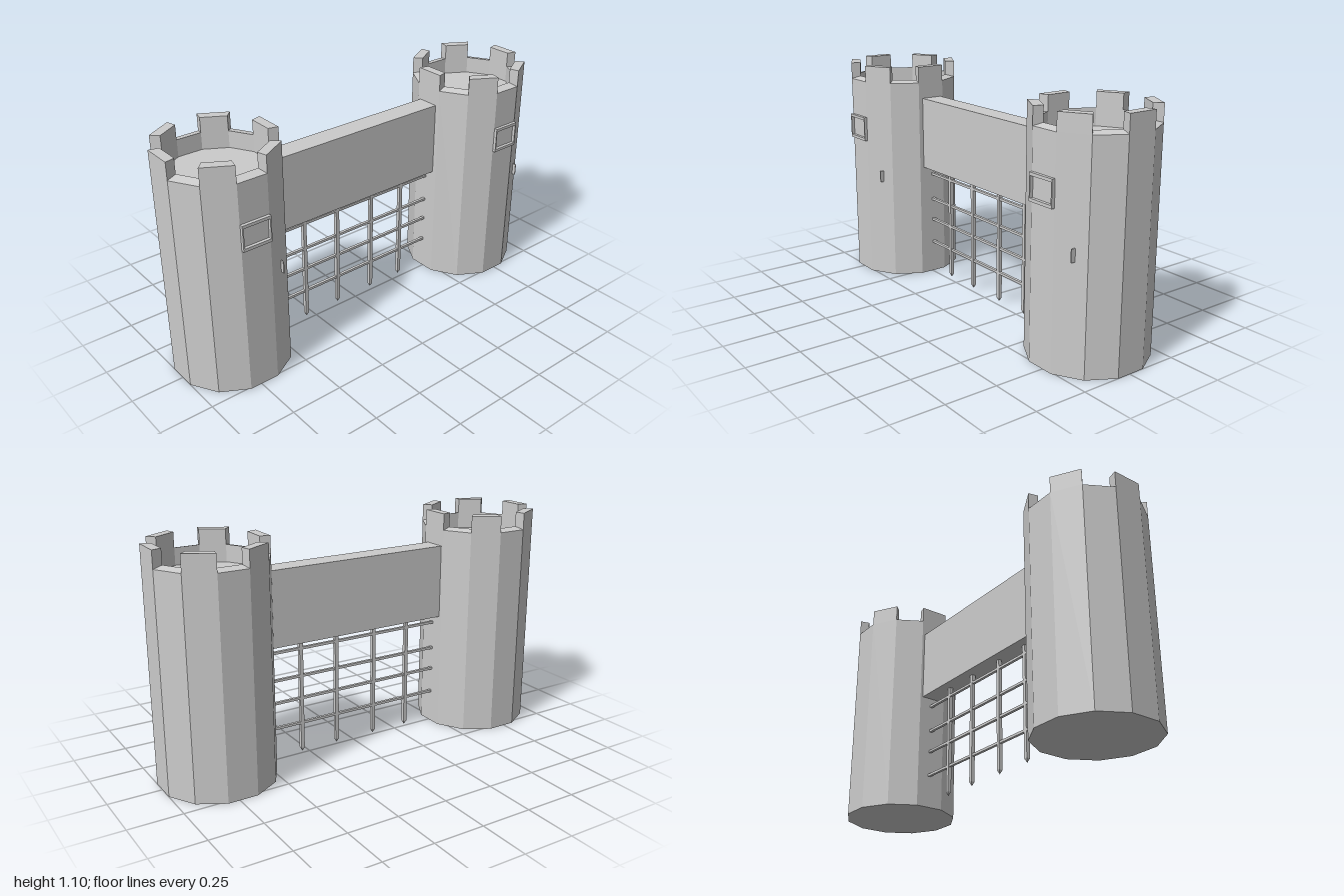
import * as THREE from 'three';

const SIDES = 12;
const HALF = Math.PI / SIDES;            // half the angle of one wall face
const OUTER = 0.275, INNER = 0.228;      // corner radii of the wall
const CENTRE_Z = -0.006;
const material = new THREE.MeshStandardMaterial({ color: 0xcccccc, flatShading: true });

function add(parent, name, geometry, x = 0, y = 0, z = 0) {
  const mesh = new THREE.Mesh(geometry, material);
  mesh.name = name;
  mesh.position.set(x, y, z);
  parent.add(mesh);
  return mesh;
}

function rectangle(shape, w, h) {
  shape.moveTo(-w / 2, -h / 2);
  shape.lineTo(w / 2, -h / 2);
  shape.lineTo(w / 2, h / 2);
  shape.lineTo(-w / 2, h / 2);
  shape.closePath();
  return shape;
}

function createTower(name, x) {
  const tower = new THREE.Group();
  tower.name = name;
  tower.position.set(x, 0, CENTRE_Z);

  // Wall, sloped parapet and sunken floor in one profile
  const profile = [
    [0, 0], [OUTER, 0], [OUTER, 1.02], [INNER, 1.03], [INNER, 0.95], [0, 0.95],
  ].map(([r, y]) => new THREE.Vector2(r, y));
  add(tower, 'towerWall', new THREE.LatheGeometry(profile, SIDES, HALF));

  // Merlons on every second face
  const corner = (r, a) => new THREE.Vector2(r * Math.cos(a), r * Math.sin(a));
  const plan = new THREE.Shape([
    corner(INNER, -HALF), corner(OUTER, -HALF), corner(OUTER, HALF), corner(INNER, HALF),
  ]);
  const merlon = new THREE.ExtrudeGeometry(plan, { depth: 0.08, bevelEnabled: false });
  merlon.rotateX(-Math.PI / 2);
  for (let i = 0; i < SIDES / 2; i++) {
    add(tower, 'merlon', merlon, 0, 1.02, 0).rotation.y = i * 4 * HALF;
  }

  // Raised window frame on the front face
  const frame = rectangle(new THREE.Shape(), 0.14, 0.122);
  frame.holes.push(rectangle(new THREE.Path(), 0.128, 0.094));
  add(tower, 'windowFrame',
    new THREE.ExtrudeGeometry(frame, { depth: 0.02, bevelEnabled: false }), 0, 0.775, 0.261);

  // Thin plate on the neighbouring face
  add(tower, 'wallPlate', new THREE.BoxGeometry(0.005, 0.058, 0.024), 0.146, 0.534, 0.229);
  return tower;
}

function createPortcullis() {
  const gate = new THREE.Group();
  gate.name = 'portcullis';
  gate.position.z = -0.01;

  // Upright bars with pointed feet
  const spike = new THREE.ConeGeometry(0.009 * Math.SQRT2, 0.02, 4);
  spike.rotateY(Math.PI / 4);
  spike.rotateX(Math.PI);
  for (const x of [-0.302, -0.108, 0.104, 0.296]) {
    add(gate, 'uprightBar', new THREE.BoxGeometry(0.018, 0.55, 0.018), x, 0.31, 0);
    add(gate, 'barSpike', spike, x, 0.025, 0);
  }

  // Cross bars between the towers
  for (const y of [0.165, 0.29, 0.402, 0.538]) {
    add(gate, 'crossBar', new THREE.BoxGeometry(0.94, 0.012, 0.014), 0, y, 0);
  }
  return gate;
}

export function createModel() {
  const model = new THREE.Group();
  model.name = 'castleGate';
  model.add(createTower('rightTower', -0.734), createTower('leftTower', 0.734));
  add(model, 'bridge', new THREE.BoxGeometry(0.938, 0.36, 0.107), 0, 0.76, -0.01);
  model.add(createPortcullis());
  return model;
}
